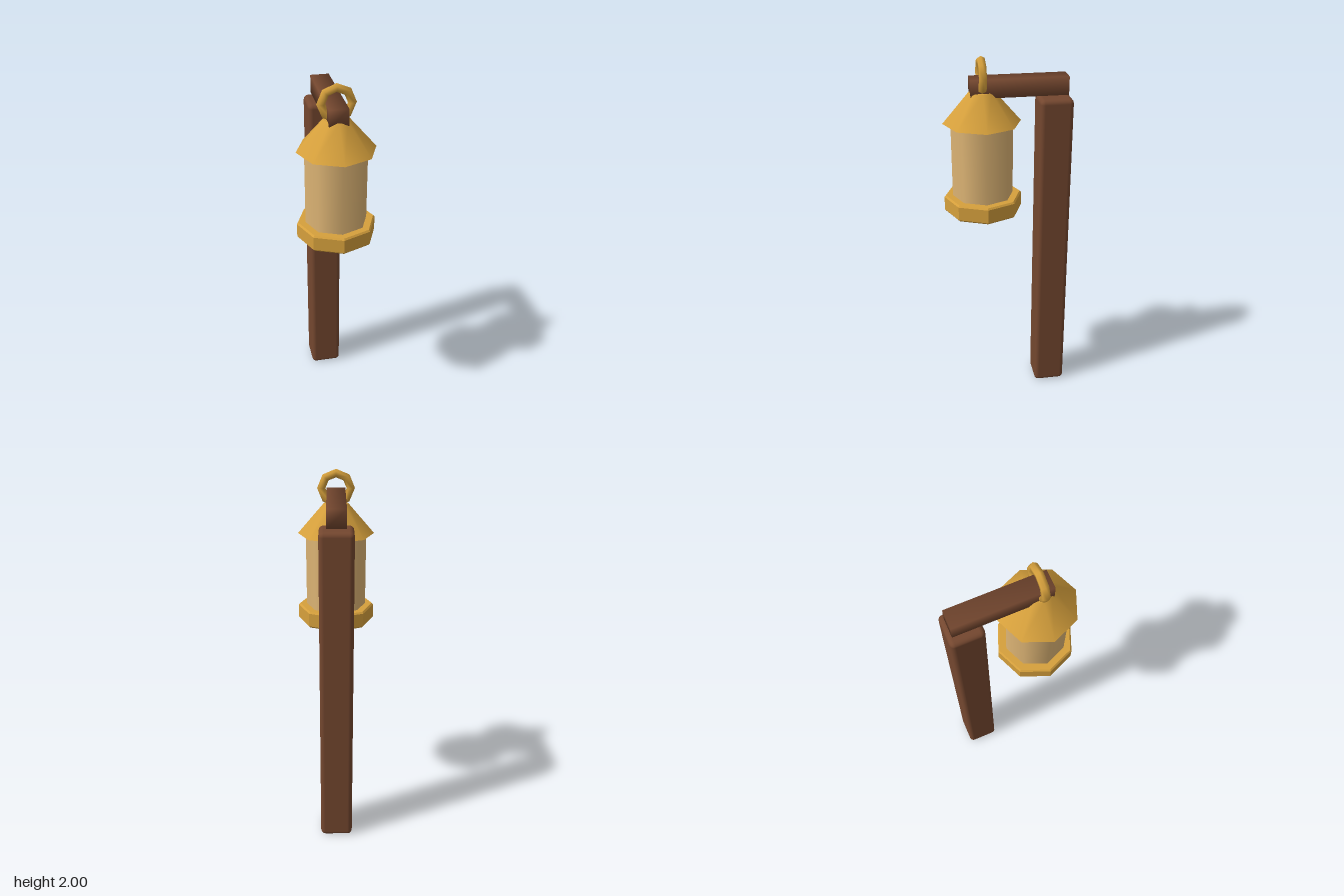
import * as THREE from 'three';
import { mergeVertices } from 'three/addons/utils/BufferGeometryUtils.js';
import { RoundedBoxGeometry } from 'three/addons/geometries/RoundedBoxGeometry.js';

const LANTERN_Z = 0.13;

export function createModel() {
  const wood = new THREE.MeshStandardMaterial({ color: 0x74472f, name: 'brown wood' });
  const brass = new THREE.MeshStandardMaterial({ color: 0xd6a03c, name: 'brass' });
  const brassFaceted = brass;
  const glass = new THREE.MeshStandardMaterial({ color: 0xdeb575, name: 'warm glass' });

  const group = new THREE.Group();
  group.name = 'lanternPost';

  function add(parent, name, geometry, material, x, y, z) {
    const mesh = new THREE.Mesh(geometry, material);
    mesh.name = name;
    mesh.position.set(x, y, z);
    parent.add(mesh);
    return mesh;
  }

  // Upright post with softened edges
  add(group, 'post', new RoundedBoxGeometry(0.177, 1.78, 0.177, 2, 0.025), wood, 0, 0.89, -0.252);

  // Crossbeam with shared, softened corner normals
  let beam = new THREE.BoxGeometry(0.1, 0.095, 0.508);
  beam.deleteAttribute('normal');
  beam.deleteAttribute('uv');
  beam = mergeVertices(beam);
  beam.computeVertexNormals();
  add(group, 'crossbeam', beam, wood, 0, 1.843, -0.063);

  // Eight-sided lantern
  const lantern = new THREE.Group();
  lantern.name = 'lantern';
  lantern.position.z = LANTERN_Z;
  group.add(lantern);

  // Bevelled tray, faceted
  const profile = [[0, 0], [0.202, 0], [0.21, 0.009], [0.21, 0.083], [0.202, 0.092], [0, 0.092]]
    .map(([r, y]) => new THREE.Vector2(r, y));
  const tray = new THREE.LatheGeometry(profile, 8).toNonIndexed();
  tray.computeVertexNormals();
  add(lantern, 'tray', tray, brassFaceted, 0, 1.163, 0);

  add(lantern, 'glassBody', new THREE.CylinderGeometry(0.164, 0.164, 0.42, 8), glass, 0, 1.455, 0);
  add(lantern, 'roof', new THREE.CylinderGeometry(0.066, 0.206, 0.162, 8), brass, 0, 1.739, 0);

  // Hanging ring around the beam
  add(lantern, 'hangingRing', new THREE.TorusGeometry(0.078, 0.0222, 6, 8), brass, 0, 1.9, 0);

  return group;
}
